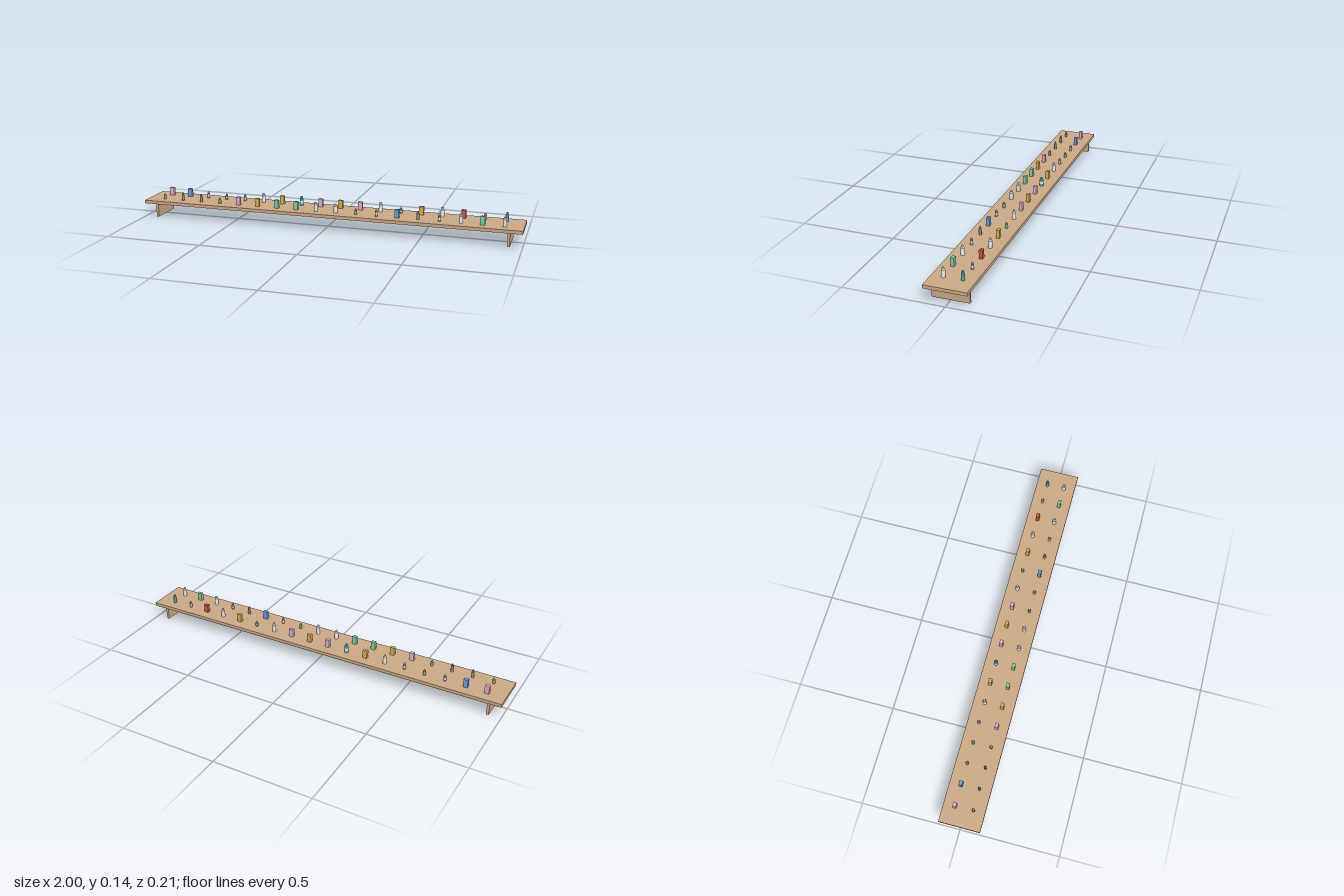
import * as THREE from 'three';

const mat = (name, color) => {
  const m = new THREE.MeshStandardMaterial({ color });
  m.name = name;
  return m;
};

export function createModel() {
  const wood = mat('wood', 0xcaa784);
  const pink = mat('pink', 0xdcaecb);
  const gold = mat('gold', 0xd2b050);
  const green = mat('green', 0x80cc9e);
  const blue = mat('blue', 0x669fdf);
  const teal = mat('teal', 0x3fafb8);
  const white = mat('offWhite', 0xeeeeec);
  const red = mat('red', 0xc8573f);
  const olive = mat('olive', 0x869458);
  const grey = mat('grey', 0x8e929c);

  const model = new THREE.Group();
  model.name = 'shelfWithGoods';
  const TOP = 0.089;

  const add = (parent, name, geo, material, x = 0, y = 0, z = 0) => {
    const m = new THREE.Mesh(geo, material);
    m.name = name;
    m.position.set(x, y, z);
    parent.add(m);
  };

  // Shelf board and its two end supports
  add(model, 'board', new THREE.BoxGeometry(2, 0.017, 0.208), wood, 0, 0.0805, 0);
  for (const s of [-1, 1]) {
    add(model, 'support', new THREE.BoxGeometry(0.013, 0.072, 0.18), wood, s * 0.933, 0.036, 0);
  }

  // Plain carton
  const carton = (color) => {
    const g = new THREE.Group();
    g.name = 'carton';
    add(g, 'cartonBody', new THREE.BoxGeometry(0.023, 0.043, 0.017), color, 0, 0.0215, 0);
    return g;
  };

  // Turned bottle: body with sloping shoulder, label band and cap
  const bottle = (r, h, color, label, cap) => {
    const g = new THREE.Group();
    g.name = 'bottle';
    const profile = [[0, 0], [r, 0], [r, h * 0.75], [r * 0.55, h * 0.85], [0, h * 0.85]]
      .map(([x, y]) => new THREE.Vector2(x, y));
    const body = new THREE.LatheGeometry(profile, 16).toNonIndexed();
    body.computeVertexNormals();
    add(g, 'bottleBody', body, color);
    if (label !== color) {
      add(g, 'bottleLabel', new THREE.CylinderGeometry(r * 1.03, r * 1.03, h * 0.26, 16), label, 0, h * 0.38, 0);
    }
    add(g, 'bottleCap', new THREE.CylinderGeometry(r * 0.55, r * 0.6, h * 0.2, 16), cap, 0, h * 0.9, 0);
    return g;
  };

  // One letter for each kind of article
  const kinds = {
    P: () => carton(pink),
    G: () => carton(gold),
    E: () => carton(green),
    B: () => carton(blue),
    R: () => carton(red),
    W: () => bottle(0.0098, 0.048, white, white, white),
    T: () => bottle(0.0098, 0.048, teal, white, teal),
    t: () => bottle(0.0085, 0.047, teal, grey, teal),
    d: () => bottle(0.007, 0.042, grey, olive, red),
    g: () => bottle(0.007, 0.034, grey, white, white),
    o: () => bottle(0.007, 0.03, olive, green, white),
  };

  // Two rows of eighteen articles, listed from -x to +x
  const rows = [
    ['frontRow', 'oddoPGEEWWogBdgWEW', 0.046],
    ['backRow', 'PBgogWGTPGPWoGWRgt', -0.046],
  ];
  for (const [name, list, z] of rows) {
    const row = new THREE.Group();
    row.name = name;
    [...list].forEach((k, i) => {
      const item = kinds[k]();
      item.position.set((i - 8.5) * 0.1067, TOP, z);
      row.add(item);
    });
    model.add(row);
  }
  return model;
}
